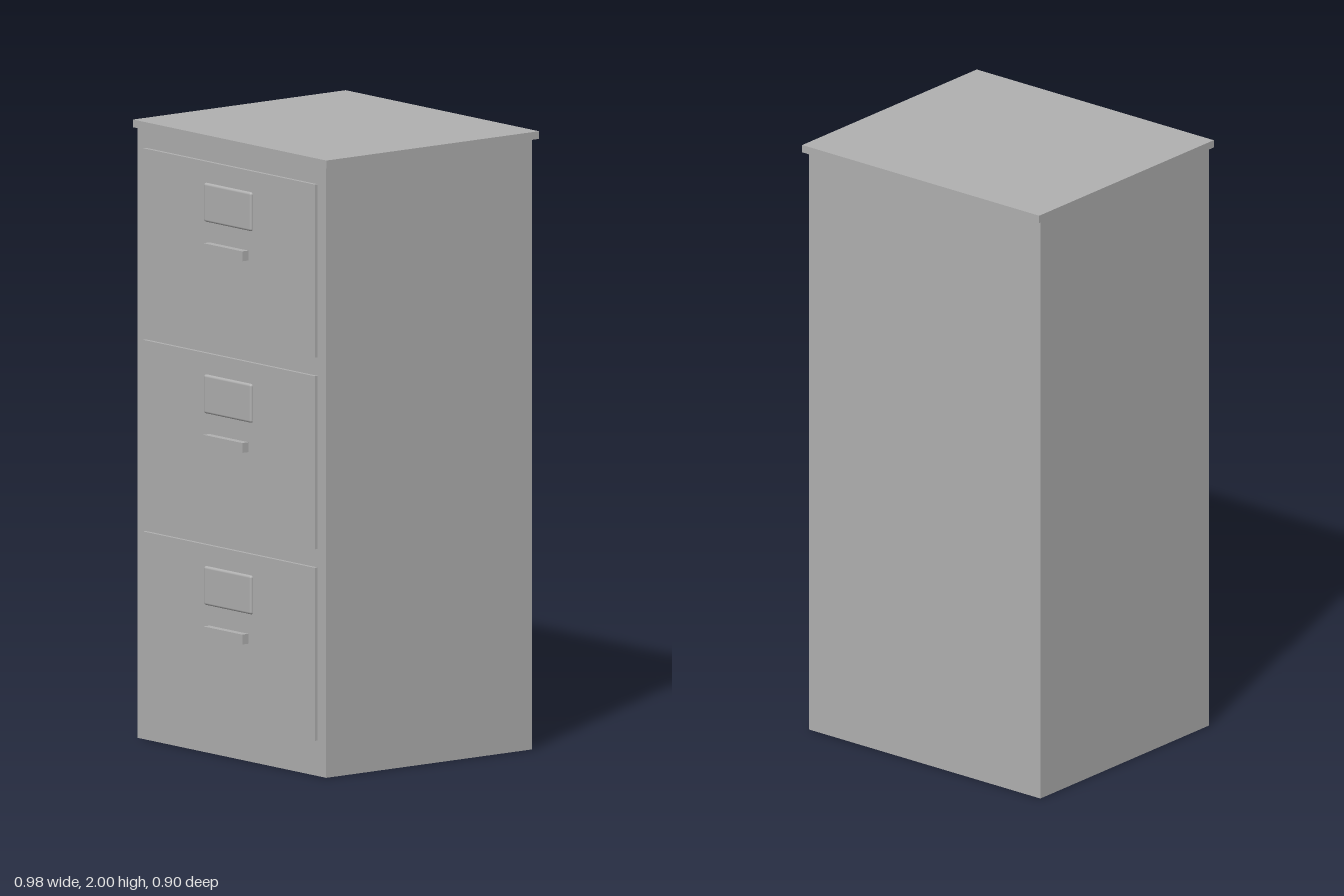
import * as THREE from 'three';
import { RoundedBoxGeometry } from 'three/addons/geometries/RoundedBoxGeometry.js';

export function createModel() {
  const model = new THREE.Group();
  model.name = 'filingCabinet';

  const paintedMetal = new THREE.MeshStandardMaterial({ color: 0xb0b0b0 });
  paintedMetal.name = 'painted metal grey';

  function add(parent, name, geometry, x, y, z) {
    const mesh = new THREE.Mesh(geometry, paintedMetal);
    mesh.name = name;
    mesh.position.set(x, y, z);
    parent.add(mesh);
    return mesh;
  }

  // Cabinet shell and overhanging top slab
  add(model, 'cabinetBody', new THREE.BoxGeometry(0.958, 1.975, 0.842), 0, 0.9875, -0.01);
  add(model, 'topSlab', new THREE.BoxGeometry(0.982, 0.025, 0.871), 0, 1.9875, -0.0155);

  // Shared drawer parts
  const frontGeometry = new THREE.BoxGeometry(0.872, 0.56, 0.022);
  const handleGeometry = new THREE.BoxGeometry(0.198, 0.032, 0.027);
  const labelGeometry = new RoundedBoxGeometry(0.242, 0.126, 0.016, 3, 0.0079);

  // Three identical drawers stacked bottom to top
  ['bottomDrawer', 'middleDrawer', 'topDrawer'].forEach((name, i) => {
    const drawer = new THREE.Group();
    drawer.name = name;
    drawer.position.y = 0.395 + i * 0.62;
    add(drawer, 'drawerFront', frontGeometry, 0, 0, 0.412);
    add(drawer, 'handle', handleGeometry, 0, 0.005, 0.4345);
    add(drawer, 'labelHolder', labelGeometry, 0, 0.149, 0.423);
    model.add(drawer);
  });

  return model;
}
